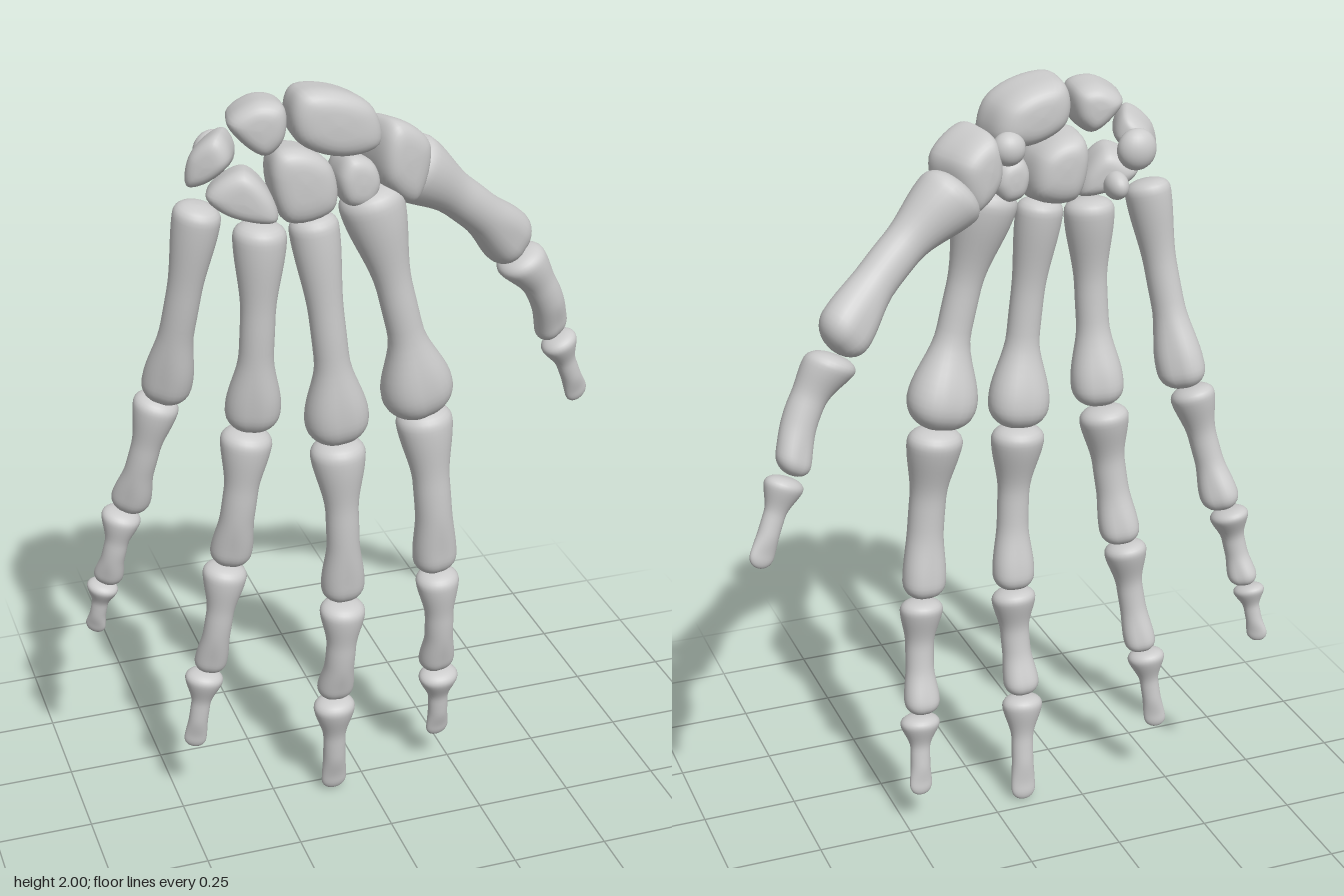
import * as THREE from 'three';

const grey = new THREE.MeshStandardMaterial({ color: 0xcccccc });
const V = (p) => new THREE.Vector3(...p);
const step = THREE.MathUtils.smoothstep;

// Closed skin over rings: point(t, a) runs t from end to end and a around
function skin(name, point, rings = 36, sides = 28) {
  const pos = [], idx = [];
  for (let i = 0; i <= rings; i++) {
    const t = (1 - Math.cos((Math.PI * i) / rings)) / 2;
    for (let j = 0; j < sides; j++) {
      pos.push(...point(t, j / sides).toArray());
      if (i === rings) continue;
      const k = (j + 1) % sides, a = i * sides, b = a + sides;
      idx.push(a + j, a + k, b + j, a + k, b + k, b + j);
    }
  }
  const g = new THREE.BufferGeometry();
  g.setAttribute('position', new THREE.Float32BufferAttribute(pos, 3));
  g.setIndex(idx);
  g.computeVertexNormals();
  const mesh = new THREE.Mesh(g, grey);
  mesh.name = name;
  return mesh;
}

// Rounding of an end: 0 at the tip, 1 from distance c inwards
const cap = (s, c, p) => (s >= c ? 1 : Math.pow(Math.max(0, 1 - Math.pow(1 - s / c, p)), 1 / p));

// Long bone from a to b; half widths at base, shaft and head
function bone(name, a, b, [wBase, wShaft, wHead], { roll = 0, bow = [0, 0, 0.015], depth = 0.95, tip = false } = {}) {
  const A = V(a), B = V(b), bend = V(bow);
  const d = B.clone().sub(A), len = d.length();
  d.normalize();
  const front = new THREE.Vector3(Math.sin(roll), 0, Math.cos(roll));
  const u = front.cross(d).normalize();
  const v = d.clone().cross(u);
  const c0 = (wBase * 0.6) / len, c1 = (wHead * (tip ? 1 : 0.85)) / len;
  return skin(name, (t, f) => {
    const base = 1 - step(t, 0.06, 0.42);
    const head = step(t, 0.6, 0.88);
    const w = (wShaft + (wBase - wShaft) * base + (wHead - wShaft) * head) * cap(t, c0, 2.5) * cap(1 - t, c1, 2.2);
    const cos = Math.cos(f * 2 * Math.PI), sin = Math.sin(f * 2 * Math.PI);
    // flattened back, hollow between the two knuckle lobes, palm side swelling
    const lobe = tip ? 1 - 0.45 * head : 1 - 0.16 * head * (1 - Math.abs(cos));
    const swell = tip ? 0 : -0.12 * wHead * head - 0.08 * wBase * base;
    return A.clone().lerp(B, t)
      .addScaledVector(bend, Math.sin(Math.PI * t))
      .addScaledVector(u, w * cos)
      .addScaledVector(v, w * sin * depth * lobe + swell * cap(t, c0, 2) * cap(1 - t, c1, 2));
  });
}

// Wrist bone: smooth outline (counterclockwise in x, y) swelling between two depths
function pebble(name, outline, z0, z1, yaw = 0) {
  const curve = new THREE.CatmullRomCurve3(outline.map(([x, y]) => V([x, y, 0])), true, 'centripetal');
  const mid = new THREE.Vector3();
  outline.forEach(([x, y]) => mid.add(V([x, y, 0]).divideScalar(outline.length)));
  const mesh = skin(name, (t, f) => {
    const s = Math.pow(Math.max(0, 1 - Math.pow(Math.abs(2 * t - 1), 3.5)), 1 / 3.5);
    const p = curve.getPoint(f).sub(mid).multiplyScalar(s * (0.84 + 0.18 * t));
    p.z = (t - 0.5) * (z1 - z0);
    return p;
  }, 24, 36);
  mesh.position.set(mid.x, mid.y, (z0 + z1) / 2);
  mesh.rotation.y = yaw;
  return mesh;
}

const digits = {
  indexFinger: { roll: 0.12, bones: [
    [[-0.02, 1.74, 0.11], [0.13, 1.12, 0.105], [0.08, 0.045, 0.092]],
    [[0.135, 1.13, 0.085], [0.175, 0.655, 0.09], [0.073, 0.048, 0.058]],
    [[0.18, 0.652, 0.085], [0.195, 0.33, 0.05], [0.058, 0.038, 0.048]],
    [[0.2, 0.328, 0.05], [0.21, 0.1, 0.02], [0.056, 0.027, 0.032]]] },
  middleFinger: { roll: 0, bones: [
    [[-0.16, 1.69, 0.12], [-0.095, 1.085, 0.12], [0.06, 0.043, 0.08]],
    [[-0.1, 1.09, 0.115], [-0.083, 0.625, 0.105], [0.07, 0.042, 0.056]],
    [[-0.085, 0.623, 0.11], [-0.1, 0.315, 0.075], [0.06, 0.039, 0.048]],
    [[-0.1, 0.312, 0.075], [-0.092, 0.005, 0.04], [0.056, 0.03, 0.034]]] },
  ringFinger: { roll: -0.3, bones: [
    [[-0.285, 1.68, 0.11], [-0.308, 1.13, 0.075], [0.064, 0.042, 0.068]],
    [[-0.315, 1.13, 0.065], [-0.365, 0.742, 0.035], [0.065, 0.043, 0.053]],
    [[-0.372, 0.745, 0.035], [-0.42, 0.42, 0.008], [0.057, 0.035, 0.042]],
    [[-0.428, 0.422, 0.005], [-0.462, 0.185, -0.01], [0.051, 0.025, 0.029]]] },
  littleFinger: { roll: -0.6, bones: [
    [[-0.42, 1.725, 0.065], [-0.503, 1.19, -0.03], [0.058, 0.042, 0.062]],
    [[-0.51, 1.2, -0.045], [-0.59, 0.865, -0.105], [0.058, 0.037, 0.05]],
    [[-0.6, 0.868, -0.11], [-0.648, 0.648, -0.135], [0.052, 0.03, 0.038]],
    [[-0.652, 0.65, -0.14], [-0.678, 0.49, -0.168], [0.043, 0.021, 0.027]]] },
  thumb: { roll: 0.25, bones: [
    [[0.08, 1.77, 0.045], [0.452, 1.45, -0.085], [0.088, 0.055, 0.072], [0.01, 0.01, 0.01]],
    [[0.44, 1.435, -0.085], [0.578, 1.168, -0.14], [0.066, 0.045, 0.047], [0.02, 0.012, 0.01]],
    [[0.587, 1.165, -0.14], [0.675, 0.955, -0.175], [0.052, 0.028, 0.034]]] },
};

// Wrist bones: outline, palm depth, back depth, yaw
const wrist = {
  scaphoid: [[[0.0, 1.85], [-0.015, 1.94], [-0.09, 1.99], [-0.2, 2.0], [-0.225, 1.95], [-0.21, 1.88], [-0.1, 1.83]], 0.02, 0.19, 0.05],
  lunate: [[[-0.225, 1.89], [-0.225, 1.97], [-0.29, 1.985], [-0.36, 1.94], [-0.34, 1.9], [-0.27, 1.85]], 0.02, 0.175, -0.15],
  triquetrum: [[[-0.33, 1.85], [-0.36, 1.91], [-0.43, 1.86], [-0.44, 1.78], [-0.39, 1.79]], 0.0, 0.145, -0.45],
  hamate: [[[-0.24, 1.69], [-0.25, 1.75], [-0.32, 1.82], [-0.41, 1.76], [-0.36, 1.71]], 0.03, 0.16, -0.25],
  capitate: [[[-0.11, 1.7], [-0.115, 1.81], [-0.18, 1.86], [-0.25, 1.86], [-0.27, 1.8], [-0.23, 1.68]], 0.02, 0.175, 0],
  trapezoid: [[[-0.0, 1.75], [-0.02, 1.81], [-0.08, 1.83], [-0.11, 1.78], [-0.09, 1.71], [-0.03, 1.7]], 0.03, 0.165, 0.1],
  trapezium: [[[0.08, 1.68], [0.125, 1.83], [0.02, 1.905], [-0.01, 1.87], [-0.01, 1.75]], -0.01, 0.165, 0.3],
};

export function createModel() {
  const hand = new THREE.Group();
  hand.name = 'handBones';

  // Fingers and thumb
  for (const [digit, { roll, bones }] of Object.entries(digits)) {
    const group = new THREE.Group();
    group.name = digit;
    const names = ['Metacarpal', 'ProximalPhalanx', 'MiddlePhalanx', 'DistalPhalanx'];
    if (bones.length === 3) names.splice(2, 1);
    bones.forEach(([a, b, widths, bow], i) => {
      const tip = i === bones.length - 1;
      const arch = bow ?? [0, 0, tip ? 0.004 : 0.016];
      group.add(bone(digit + names[i], a, b, widths, { roll, bow: arch, depth: tip ? 0.85 : 0.92, tip }));
    });
    hand.add(group);
  }

  // Wrist
  const carpals = new THREE.Group();
  carpals.name = 'wrist';
  for (const [name, args] of Object.entries(wrist)) carpals.add(pebble(name, ...args));

  // Small knobs on the palm side: pisiform, hook of the hamate, scaphoid tubercle
  for (const [name, p, size] of [
    ['pisiform', [-0.36, 1.825, -0.005], [0.05, 0.052, 0.038]],
    ['hamateHook', [-0.32, 1.73, 0.025], [0.03, 0.035, 0.045]],
    ['scaphoidTubercle', [-0.04, 1.85, 0.03], [0.042, 0.042, 0.036]],
  ]) {
    const knob = new THREE.Mesh(new THREE.SphereGeometry(1, 24, 16), grey);
    knob.name = name;
    knob.position.set(...p);
    knob.scale.set(...size);
    carpals.add(knob);
  }
  hand.add(carpals);
  return hand;
}
